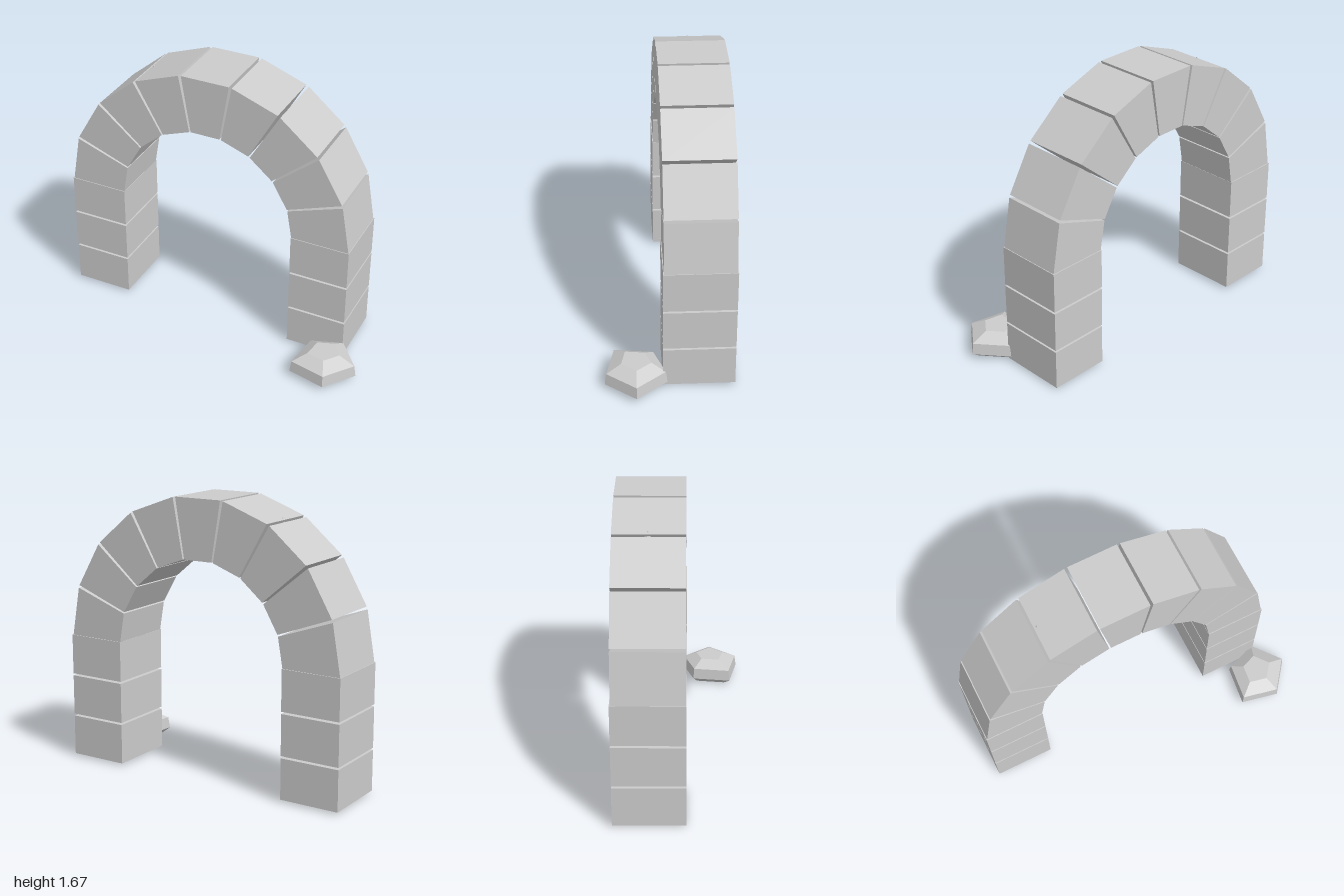
import * as THREE from 'three';
import { ConvexGeometry } from 'three/addons/geometries/ConvexGeometry.js';

const CX = -0.075, CY = 0.765;      // centre of the arch ring
const OUTER = 0.922, INNER = 0.563; // ring radii

export function createModel() {
  const model = new THREE.Group();
  const material = new THREE.MeshStandardMaterial({ color: 0xcccccc, flatShading: true });
  const add = (name, geometry, x = 0, y = 0, z = 0) => {
    const mesh = new THREE.Mesh(geometry, material);
    mesh.name = name;
    mesh.position.set(x, y, z);
    model.add(mesh);
    return mesh;
  };

  // Wedge stone between two angles, measured in degrees from the crown
  const wedge = (from, to) => {
    const at = (r, deg) => {
      const a = THREE.MathUtils.degToRad(deg);
      return new THREE.Vector2(r * Math.sin(a), r * Math.cos(a));
    };
    const shape = new THREE.Shape([at(OUTER, from), at(OUTER, to), at(INNER, to), at(INNER, from)]);
    return new THREE.ExtrudeGeometry(shape, { depth: 0.405, bevelEnabled: false });
  };

  // Ring of wedge stones with narrow open joints
  for (let i = -3; i <= 3; i++) {
    add(i === 0 ? 'keystone' : 'archStone', wedge(i * 20 - 9.45, i * 20 + 9.45), CX, CY, -0.37);
  }

  for (const side of [-1, 1]) {
    // Springing stone resting on the pillar
    const angles = side > 0 ? [70.5, 90] : [-90, -70.5];
    add('springer', wedge(...angles), CX, CY, -0.37);

    // Pillar of three stacked blocks
    for (let row = 0; row < 3; row++) {
      add('pillarBlock', new THREE.BoxGeometry(0.365, 0.245, 0.415),
        CX + side * 0.742, 0.137 + row * 0.258, -0.168);
    }
  }

  // Fallen rock: pentagonal rings tapering to flat top and bottom
  const outline = [[0.21, 0.005], [0.07, 0.185], [-0.16, 0.135], [-0.13, -0.105], [0.065, -0.175]];
  const rings = [[0, 0.75], [0.035, 1], [0.105, 0.95], [0.15, 0.48]];
  const points = rings.flatMap(([y, s]) => outline.map(([x, z]) => new THREE.Vector3(x * s, y, z * s)));
  add('fallenRock', new ConvexGeometry(points), 0.787, 0, 0.19);

  // Small chip poking out of a stone on the shoulder of the arch
  const chip = add('stoneChip', new THREE.ConeGeometry(0.03, 0.04, 5), -0.512, 1.564, -0.17);
  chip.scale.x = 0.5;

  return model;
}
